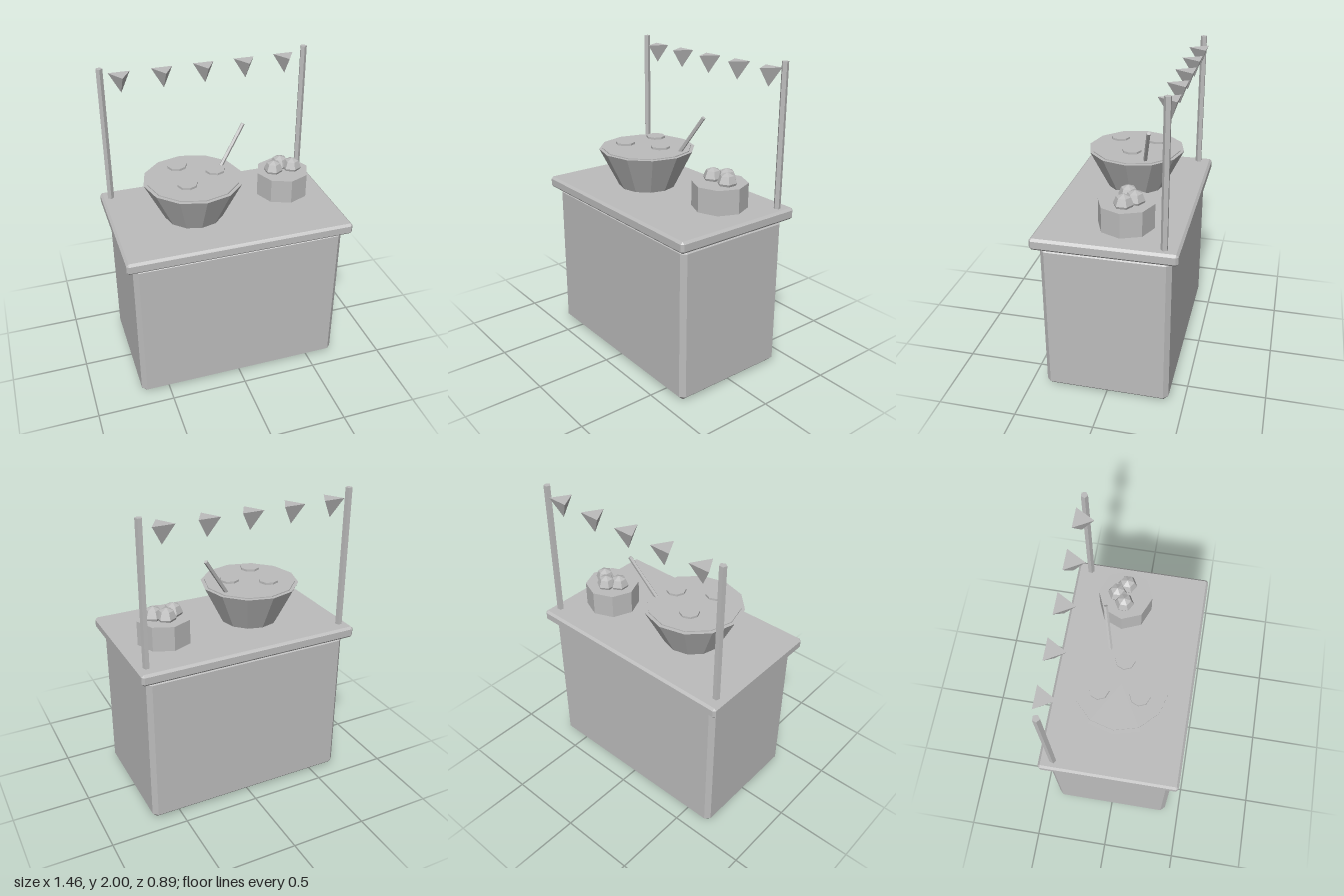
import * as THREE from 'three';
import { ConvexGeometry } from 'three/addons/geometries/ConvexGeometry.js';

// Box with every edge cut at 45 degrees
function chamferedBox(w, h, d, c) {
  const points = [];
  for (const sx of [-1, 1]) for (const sy of [-1, 1]) for (const sz of [-1, 1]) {
    const x = w / 2, y = h / 2, z = d / 2;
    points.push(
      new THREE.Vector3(sx * x, sy * (y - c), sz * (z - c)),
      new THREE.Vector3(sx * (x - c), sy * y, sz * (z - c)),
      new THREE.Vector3(sx * (x - c), sy * (y - c), sz * z)
    );
  }
  return new ConvexGeometry(points);
}

export function createModel() {
  const group = new THREE.Group();
  const grey = new THREE.MeshStandardMaterial({ color: 0xbcbcbc });
  grey.name = 'plainGrey';

  function add(name, geometry, x, y, z) {
    // Facet the low-poly surfaces
    const faceted = geometry.index ? geometry.toNonIndexed() : geometry;
    faceted.computeVertexNormals();
    const mesh = new THREE.Mesh(faceted, grey);
    mesh.name = name;
    mesh.position.set(x, y, z);
    group.add(mesh);
    return mesh;
  }

  // Stall body and countertop
  add('stallBody', chamferedBox(1.37, 1.02, 0.8, 0.03), 0, 0.51, 0);
  add('countertop', chamferedBox(1.46, 0.075, 0.89, 0.015), 0, 1.0575, 0);

  // Rear posts
  for (const side of [-1, 1]) {
    add(side < 0 ? 'rightPost' : 'leftPost',
      new THREE.CylinderGeometry(0.022, 0.022, 0.92, 5), side * 0.67, 1.54, -0.355);
  }

  // Hanging pennants
  for (let i = -2; i <= 2; i++) {
    add('pennant', new THREE.ConeGeometry(0.079, 0.12, 3).rotateZ(Math.PI),
      i * 0.272, 1.89, -0.355);
  }

  // Mixing bowl, its filling and the slices above it
  add('bowl', new THREE.CylinderGeometry(0.318, 0.19, 0.255, 12), -0.195, 1.2225, 0);
  add('bowlFilling', new THREE.CylinderGeometry(0.295, 0.295, 0.02, 12), -0.195, 1.346, 0);
  for (const [x, z] of [[-0.265, -0.125], [-0.05, 0], [-0.265, 0.125]]) {
    add('slice', new THREE.CylinderGeometry(0.063, 0.063, 0.014, 8), x, 1.387, z);
  }

  // Spoon handle leaning out of the bowl
  const low = new THREE.Vector3(-0.01, 1.3, -0.093);
  const high = new THREE.Vector3(0.19, 1.602, -0.158);
  const along = high.clone().sub(low);
  const middle = low.clone().add(high).multiplyScalar(0.5);
  const spoon = add('spoonHandle', new THREE.CylinderGeometry(0.013, 0.013, along.length(), 5),
    middle.x, middle.y, middle.z);
  spoon.quaternion.setFromUnitVectors(new THREE.Vector3(0, 1, 0), along.normalize());

  // Small tub with three round scoops
  add('tub', new THREE.CylinderGeometry(0.175, 0.175, 0.16, 8), 0.445, 1.185, -0.08);
  for (const [x, z] of [[0.38, -0.078], [0.51, -0.078], [0.445, -0.133]]) {
    add('scoop', new THREE.SphereGeometry(0.063, 6, 4).rotateY(Math.PI / 6), x, 1.28, z);
  }

  return group;
}
